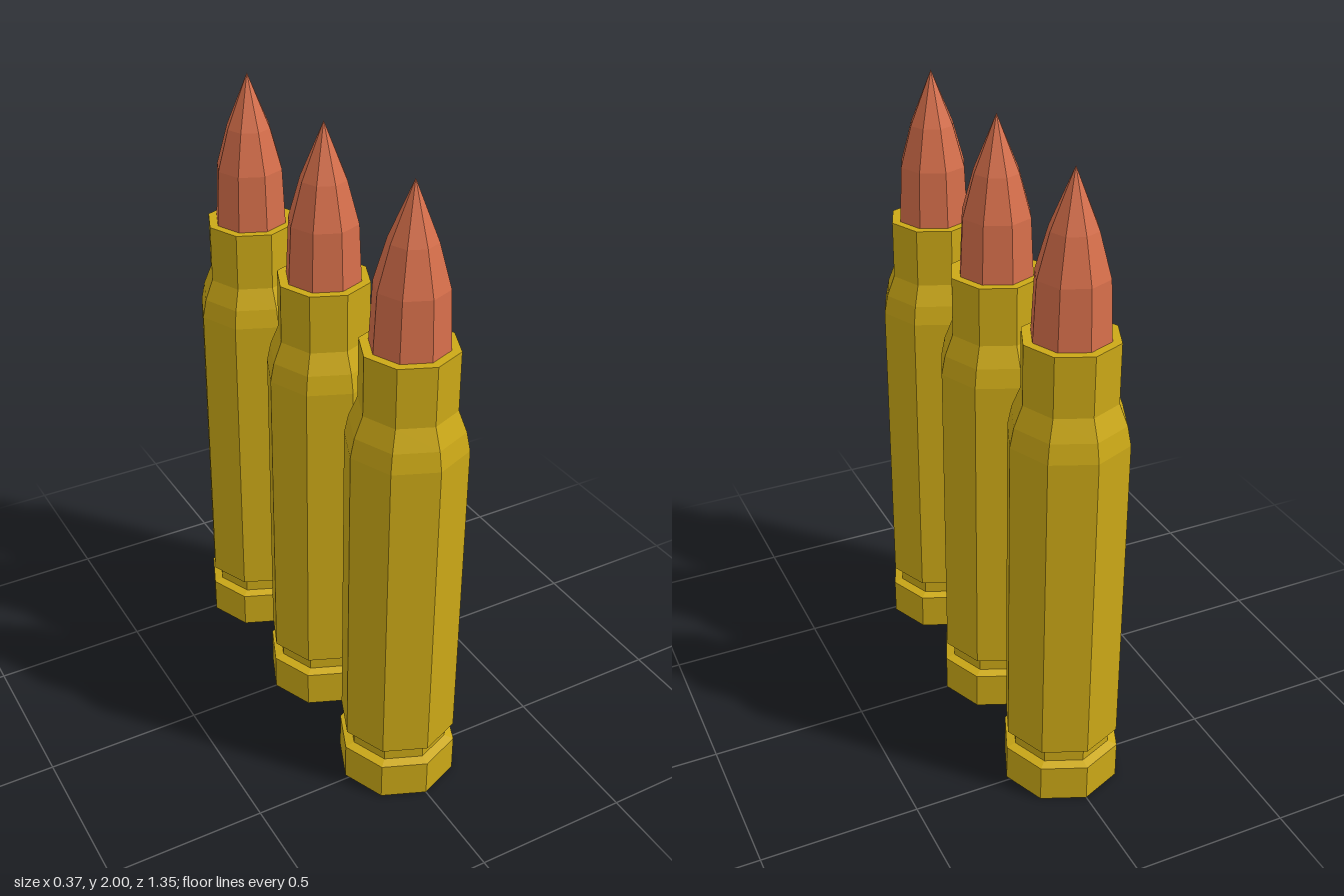
import * as THREE from 'three';

const SIDES = 8;
const SPACING = 0.486;

// Faceted solid of revolution from [radius, height] pairs, bottom to top
function turned(name, profile, material) {
  const points = profile.map(([r, y]) => new THREE.Vector2(r, y));
  const mesh = new THREE.Mesh(new THREE.LatheGeometry(points, SIDES), material);
  mesh.name = name;
  return mesh;
}

export function createModel() {
  const model = new THREE.Group();
  model.name = 'cartridges';
  const brass = new THREE.MeshStandardMaterial({ color: 0xcca917, flatShading: true });
  const copper = new THREE.MeshStandardMaterial({ color: 0xd76f4b, flatShading: true });

  // Rim, extractor groove, body, shoulder, neck and mouth
  const caseProfile = [
    [0, 0], [0.187, 0], [0.187, 0.122], [0.157, 0.13], [0.157, 0.178], [0.183, 0.185],
    [0.183, 1.21], [0.171, 1.27], [0.145, 1.335], [0.145, 1.52], [0.115, 1.52],
  ];
  // Pointed bullet seated in the mouth
  const bulletProfile = [[0.118, 1.5], [0.117, 1.52], [0.108, 1.7], [0.071, 1.83], [0, 2]];

  for (const i of [-1, 0, 1]) {
    const cartridge = new THREE.Group();
    cartridge.name = ['backCartridge', 'middleCartridge', 'frontCartridge'][i + 1];
    cartridge.add(turned('case', caseProfile, brass), turned('bullet', bulletProfile, copper));
    cartridge.position.z = i * SPACING;
    model.add(cartridge);
  }
  return model;
}
